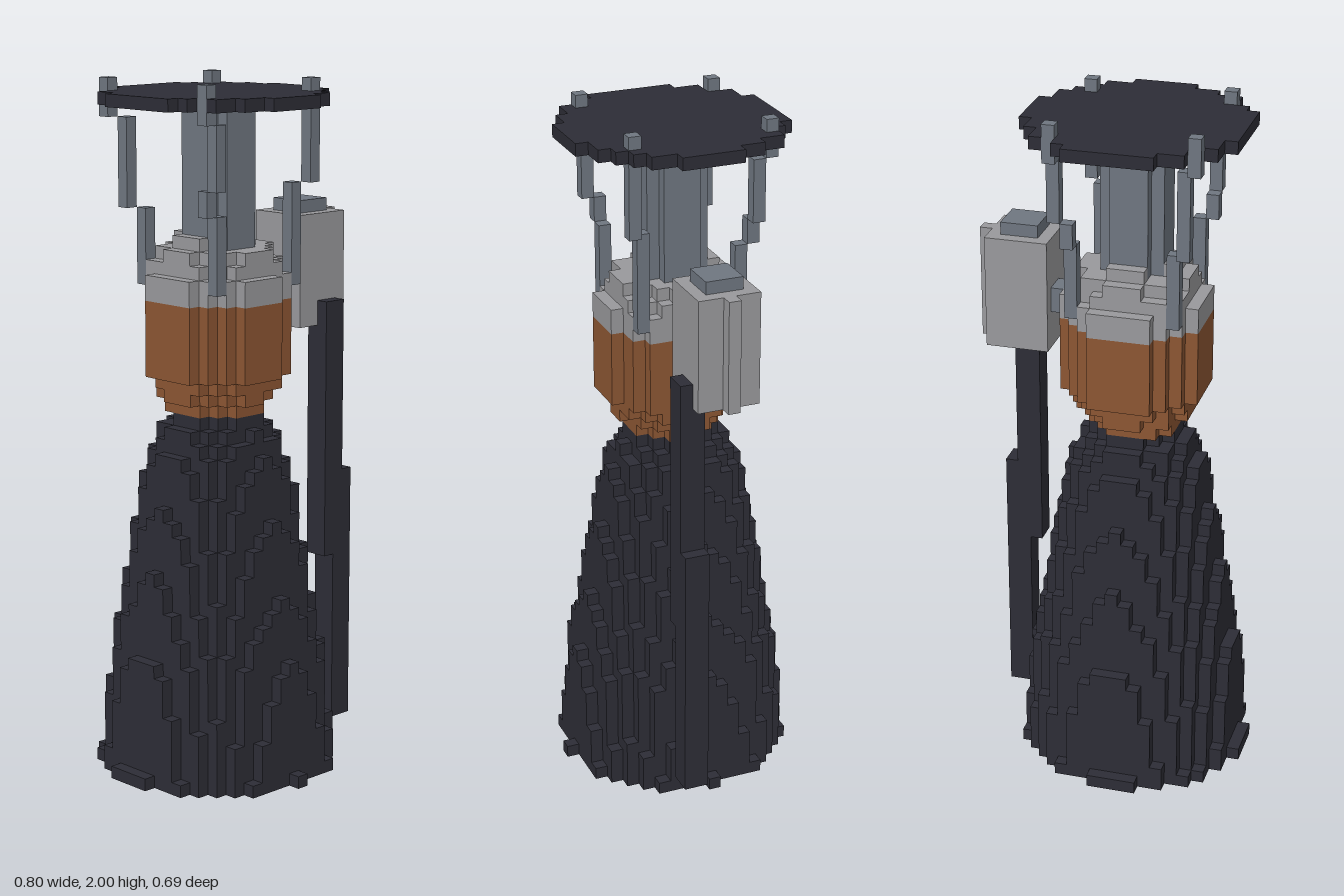
import * as THREE from 'three';

const V = 2 / 55;               // block size
const AXIS = 9;                 // grid column of the engine axis in x
const OFF = -0.1;               // slight offset of the round sections

const mat = (name, color) => Object.assign(new THREE.MeshStandardMaterial({ color }), { name });

// Nozzle outline: [row, radius in blocks]
const BELL = [[0, 9.12], [1, 8.88], [9, 8.12], [10, 7.88], [14, 7.12], [16, 6.92],
  [20, 6.12], [22, 5.8], [25, 5.12], [26, 4.85], [27, 4.12], [28, 3.4]];

function bellRadius(row) {
  const n = BELL.findIndex(p => p[0] >= row);
  if (n === 0) return BELL[0][1];
  const [a, ra] = BELL[n - 1], [b, rb] = BELL[n];
  return ra + (rb - ra) * (row - a) / (b - a);
}

const key = (x, y, z) => `${x},${y},${z}`;

export function createModel() {
  const dark = mat('charcoal', 0x2d2d36);
  const copper = mat('copper', 0x8c5633);
  const light = mat('lightGrey', 0x99999c);
  const steel = mat('steelGrey', 0x6f7680);

  const filled = new Set();
  const parts = [];
  function part(name, material, fill) {
    const cells = [];
    fill((x, y, z) => {
      const k = key(x, y, z);
      if (!filled.has(k)) { filled.add(k); cells.push([x, y, z]); }
    });
    parts.push({ name, material, cells });
  }

  // Fill helpers; x and z are counted in blocks from the engine axis
  const box = (put, x0, x1, y0, y1, z0, z1) => {
    for (let x = x0; x <= x1; x++)
      for (let y = y0; y <= y1; y++)
        for (let z = z0; z <= z1; z++) put(x, y, z);
  };
  const disc = (put, y, r, inner = -1) => {
    for (let x = -10; x <= 10; x++)
      for (let z = -10; z <= 10; z++) {
        const d = Math.hypot(x - OFF, z - OFF);
        if (d <= r && d > inner) put(x, y, z);
      }
  };

  // Hollow bell
  part('nozzle', dark, put => {
    for (let y = 0; y <= 28; y++) {
      const r = bellRadius(y);
      disc(put, y, r, y < 27 ? r - 1.3 : -1);
    }
  });

  // Combustion chamber
  part('chamber', copper, put => {
    for (let y = 29; y <= 37; y++) disc(put, y, y < 30 ? 3.5 : y < 31 ? 4.2 : y < 32 ? 4.75 : 5.45);
  });

  // Central pillar with notched corners
  part('pillar', steel, put => {
    box(put, -2, 2, 42, 52, -1, 1);
    box(put, -1, 1, 42, 52, -2, 2);
  });

  // Mounting struts, leaning outwards
  part('struts', steel, put => {
    const lean = (y, side) => side > 0 ? (y >= 47 ? 5 : 4) : (y >= 52 ? -6 : y >= 45 ? -5 : -4);
    for (const sx of [-1, 1]) for (const sz of [-1, 1])
      for (let y = 39; y <= 54; y++) put(lean(y, sx), y, lean(y, sz));
  });

  // Stepped injector head
  part('injectorHead', light, put => {
    [5.45, 5.45, 4.9, 4.3].forEach((r, i) => disc(put, 38 + i, r));
    box(put, -3, -3, 42, 42, -1, 1);
    box(put, -1, 1, 42, 42, -3, -3);
  });

  part('mountingDisc', dark, put => disc(put, 53, 8.5));

  // Turbopump beside the chamber
  part('exhaustDuct', dark, put => {
    box(put, 9, 10, 16, 36, 2, 3);
    box(put, 10, 11, 2, 22, 2, 3);
  });
  part('turbopump', light, put => {
    box(put, 7, 11, 35, 43, -2, 2);
    box(put, 12, 12, 35, 43, 0, 0);
  });
  part('pumpCap', steel, put => box(put, 8, 10, 44, 44, -1, 1));
  part('feedPipe', steel, put => box(put, 5, 6, 38, 39, -1, 0));

  // Turn each part's exposed block faces into a mesh
  const group = new THREE.Group();
  group.name = 'rocketEngine';
  for (const { name, material, cells } of parts) {
    const pos = [], nor = [], idx = [];
    for (const c of cells)
      for (let a = 0; a < 3; a++)
        for (const s of [-1, 1]) {
          const n = [0, 0, 0];
          n[a] = s;
          if (filled.has(key(c[0] + n[0], c[1] + n[1], c[2] + n[2]))) continue;
          const b = pos.length / 3, u = (a + 1) % 3, w = (a + 2) % 3;
          for (const [du, dw] of [[0, 0], [1, 0], [1, 1], [0, 1]]) {
            const p = [...c];
            p[a] += s > 0 ? 1 : 0;
            p[u] += du;
            p[w] += dw;
            pos.push((p[0] + AXIS - 11) * V, p[1] * V, (p[2] - 0.5) * V);
            nor.push(...n);
          }
          if (s > 0) idx.push(b, b + 1, b + 2, b, b + 2, b + 3);
          else idx.push(b, b + 2, b + 1, b, b + 3, b + 2);
        }
    const geo = new THREE.BufferGeometry();
    geo.setAttribute('position', new THREE.Float32BufferAttribute(pos, 3));
    geo.setAttribute('normal', new THREE.Float32BufferAttribute(nor, 3));
    geo.setIndex(idx);
    const mesh = new THREE.Mesh(geo, material);
    mesh.name = name;
    group.add(mesh);
  }
  return group;
}
